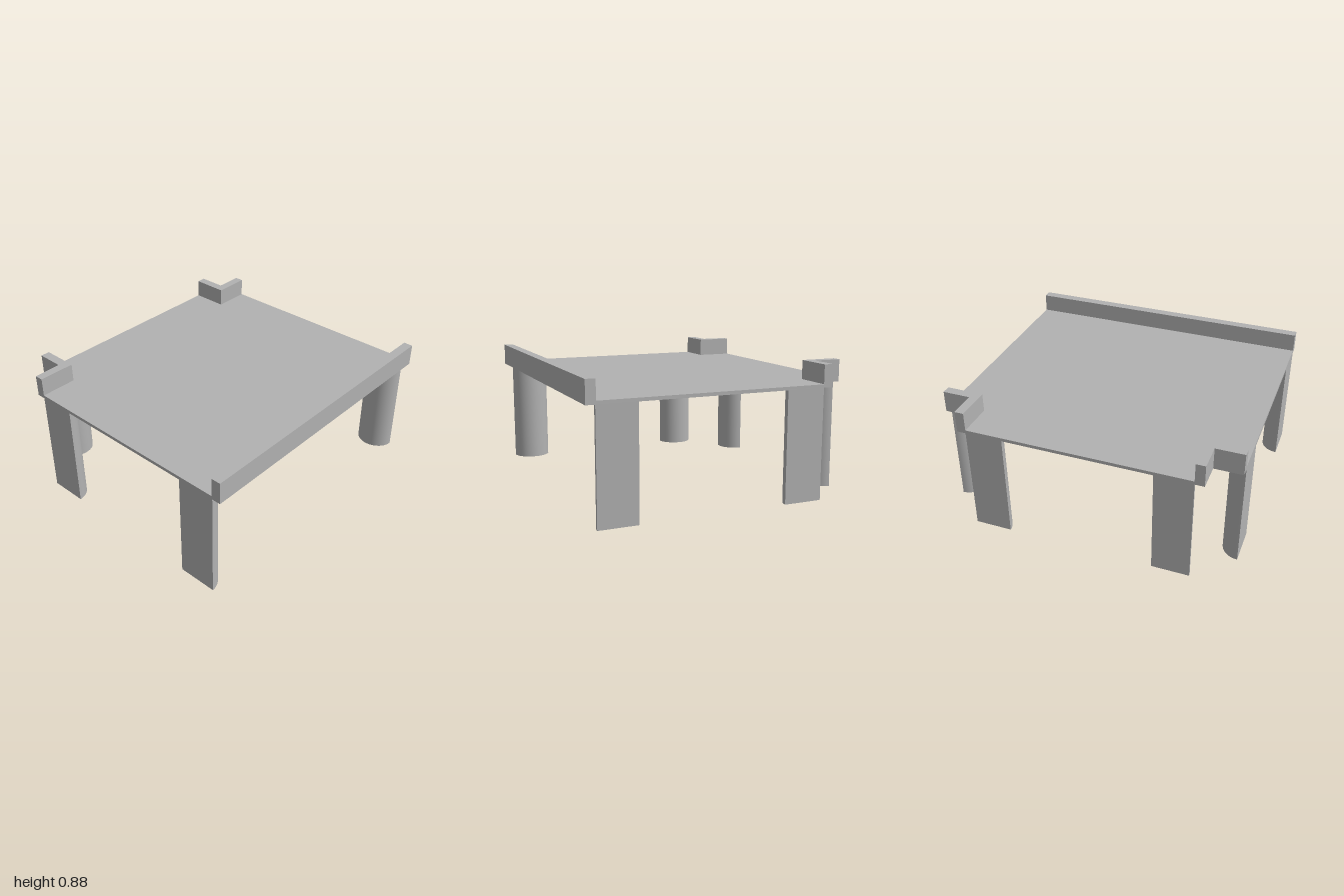
import * as THREE from 'three';
import { toCreasedNormals } from 'three/addons/utils/BufferGeometryUtils.js';

const SLAB_BOTTOM = 0.73, SLAB_TOP = 0.752, WALL_TOP = 0.877;
const HALF_X = 0.905, HALF_Z = 1;

export function createModel() {
  const group = new THREE.Group();
  const grey = new THREE.MeshStandardMaterial({ color: 0xb2b2b2 });
  grey.name = 'grey';

  // Extrudes a plan outline given as [x, z] points upwards from y0 to y1
  function prism(name, points, y0, y1) {
    const shape = new THREE.Shape(points.map(([x, z]) => new THREE.Vector2(x, -z)));
    let geo = new THREE.ExtrudeGeometry(shape, { depth: y1 - y0, bevelEnabled: false });
    geo.rotateX(-Math.PI / 2);
    geo.translate(0, y0, 0);
    geo = toCreasedNormals(geo, 0.6);
    const mesh = new THREE.Mesh(geo, grey);
    mesh.name = name;
    group.add(mesh);
    return mesh;
  }

  // Thin table top, notched at the two right-hand corners
  prism('tableTop', [
    [-0.66, HALF_Z], [0.842, HALF_Z], [0.842, -HALF_Z], [-0.66, -HALF_Z],
    [-0.66, -0.75], [-HALF_X, -0.75], [-HALF_X, 0.75], [-0.66, 0.75],
  ], SLAB_BOTTOM, SLAB_TOP);

  // Long raised rail along the left edge
  prism('sideRail', [
    [0.842, HALF_Z], [HALF_X, HALF_Z], [HALF_X, -HALF_Z], [0.842, -HALF_Z],
  ], SLAB_BOTTOM, WALL_TOP);

  // L-shaped walls around the notches
  for (const s of [1, -1]) {
    prism(s > 0 ? 'frontCornerWall' : 'backCornerWall', [
      [-HALF_X, 0.75 * s], [-0.66, 0.75 * s], [-0.66, HALF_Z * s],
      [-0.72, HALF_Z * s], [-0.72, 0.812 * s], [-HALF_X, 0.812 * s],
    ], SLAB_BOTTOM, WALL_TOP);
  }

  // Half-round leg: flat side faces outwards, round side inwards
  function leg(name, x, z, turn, halfWidth) {
    const points = [];
    for (let i = 0; i <= 20; i++) {
      const a = (i / 20) * Math.PI;
      points.push([halfWidth * Math.cos(a), -0.124 * Math.sin(a)]);
    }
    const mesh = prism(name, points, 0, SLAB_BOTTOM);
    mesh.position.set(x, 0, z);
    mesh.rotation.y = turn;
  }

  for (const x of [-0.53, 0.717]) {
    const side = x > 0 ? 'Left' : 'Right';
    leg('front' + side + 'Leg', x, HALF_Z, 0, 0.13);
    leg('back' + side + 'Leg', x, -HALF_Z, Math.PI, 0.13);
  }
  for (const z of [0.625, -0.625]) {
    leg(z > 0 ? 'sideFrontLeg' : 'sideBackLeg', -HALF_X, z, -Math.PI / 2, 0.126);
  }

  return group;
}
